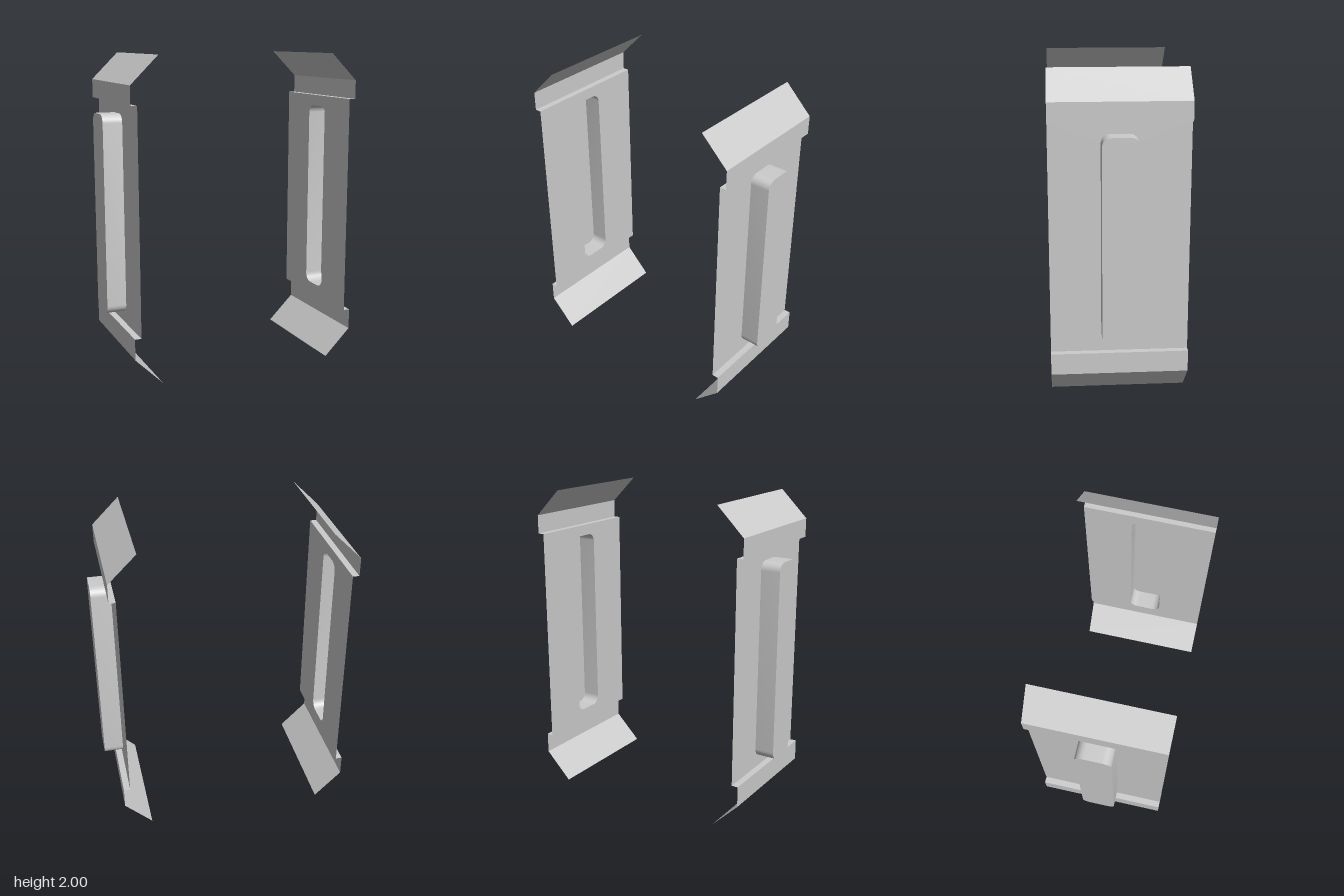
import * as THREE from 'three';
import { toCreasedNormals } from 'three/addons/utils/BufferGeometryUtils.js';

const HALF = 0.415;              // half depth along z
const MID = 1.0;                 // middle height
const PLATE = 0.709, LIP = 0.75, FIN = 0.576, CAP = 0.832;

const material = new THREE.MeshStandardMaterial({ color: 0xcccccc, side: THREE.DoubleSide });

function part(name, geometry, x = 0) {
  const mesh = new THREE.Mesh(geometry, material);
  mesh.name = name;
  mesh.position.x = x;
  return mesh;
}

// Rounded slot outline, drawn as a path in (z, y)
function slotOutline(path) {
  const w = 0.11, b = 0.378, t = 1.638, r = 0.055;
  path.moveTo(w, b + r);
  path.lineTo(w, t - r);
  path.absarc(w - r, t - r, r, 0, Math.PI / 2);
  path.absarc(-w + r, t - r, r, Math.PI / 2, Math.PI);
  path.absarc(-w + r, b + r, r, Math.PI, Math.PI * 1.5);
  path.absarc(w - r, b + r, r, Math.PI * 1.5, Math.PI * 2);
  return path;
}

// Sheet swept between two matching rows of points
function sheet(rowA, rowB) {
  const pos = [], idx = [];
  rowA.forEach((p, i) => {
    pos.push(...p, ...rowB[i]);
    if (i) {
      const k = 2 * i;
      idx.push(k - 2, k, k - 1, k - 1, k, k + 1);
    }
  });
  const g = new THREE.BufferGeometry();
  g.setAttribute('position', new THREE.Float32BufferAttribute(pos, 3));
  g.setIndex(idx);
  return toCreasedNormals(g, 0.5);
}

// Flat outline turned to face +x
function flat(shape) {
  return new THREE.ShapeGeometry(shape, 8).rotateY(Math.PI / 2);
}

function createPanel(name) {
  const panel = new THREE.Group();
  panel.name = name;

  // Main plate with the slot cut out
  const low = 0.305, high = 1.71;
  const outline = new THREE.Shape([
    new THREE.Vector2(-HALF, low), new THREE.Vector2(HALF, low),
    new THREE.Vector2(HALF, high), new THREE.Vector2(-HALF, high),
  ]);
  outline.holes.push(slotOutline(new THREE.Path()));
  panel.add(part('plate', flat(outline), PLATE));

  // Hollow rib standing out from the slot: closed outer face and side wall
  const slot = slotOutline(new THREE.Shape());
  panel.add(part('ribFace', flat(slot), CAP));
  const ring = slot.getPoints(8).filter((p, i, a) => !i || p.distanceTo(a[i - 1]) > 1e-5);
  if (ring[0].distanceTo(ring[ring.length - 1]) > 1e-5) ring.push(ring[0]);
  panel.add(part('ribWall', sheet(
    ring.map(p => [CAP, p.y, -p.x]),
    ring.map(p => [PLATE, p.y, -p.x]),
  )));

  // Folded flanges: step out, upright lip, then a fin sloping inward
  const fold = [[PLATE, 0.705], [LIP, 0.705], [LIP, 0.828], [FIN, 1]];
  for (const [label, s] of [['topFlange', 1], ['bottomFlange', -1]]) {
    const row = z => fold.map(([x, y]) => [x, MID + s * (y === 0.705 && s > 0 ? high - MID : y === 0.705 ? MID - low : y), z]);
    panel.add(part(label, sheet(row(s * HALF), row(-s * HALF))));
  }
  return panel;
}

export function createModel() {
  const model = new THREE.Group();
  model.name = 'sidePanels';
  const left = createPanel('leftPanel');
  const right = createPanel('rightPanel');
  right.rotation.y = Math.PI;
  model.add(left, right);
  return model;
}
